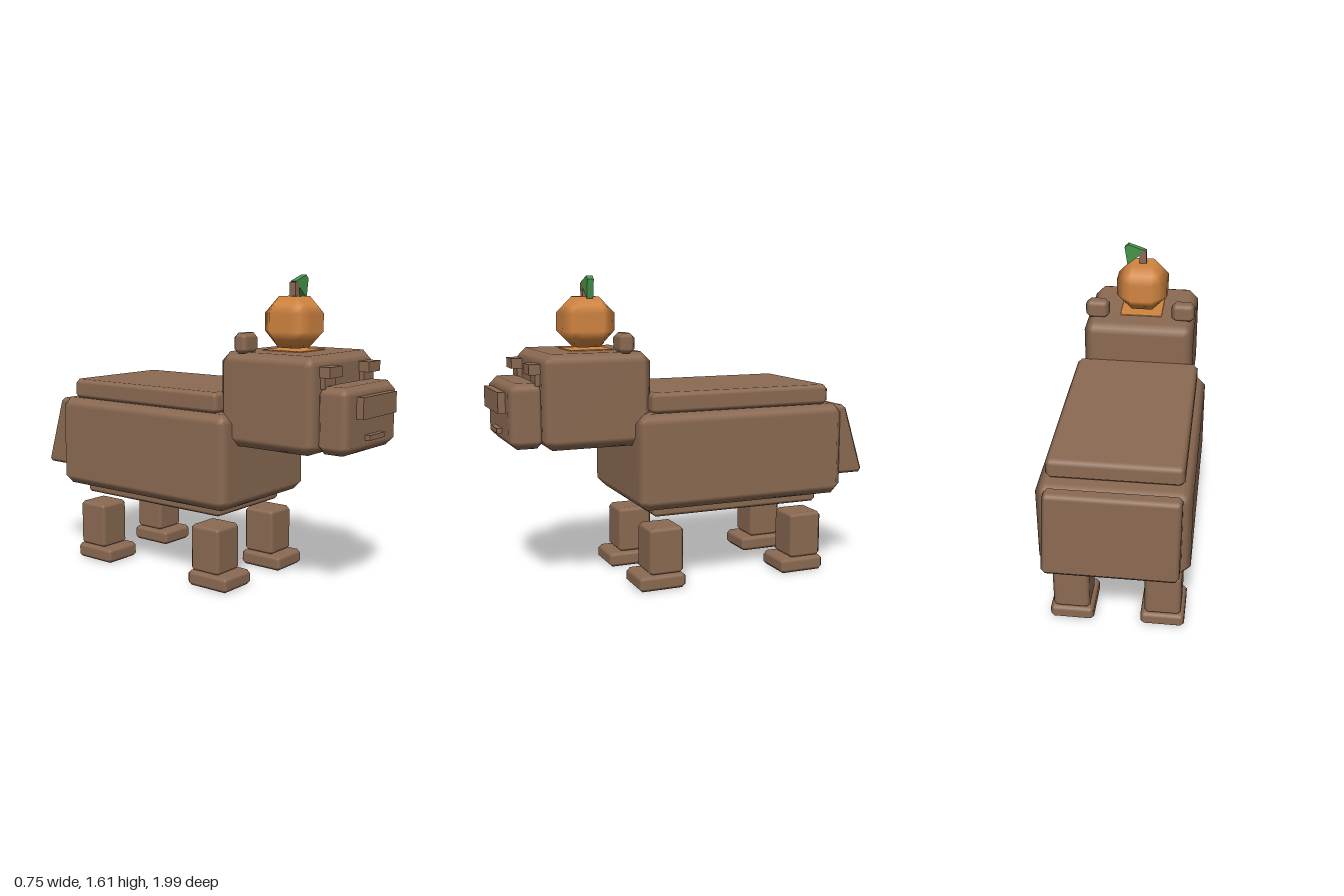
import * as THREE from 'three';

const material = (name, color) => {
  const m = new THREE.MeshStandardMaterial({ color });
  m.name = name;
  return m;
};

// Box given by its [min, max] on each axis, with a chamfer r and normals blended over the chamfers only.
function chamferBox([x0, x1], [y0, y1], [z0, z1], r) {
  const half = [(x1 - x0) / 2, (y1 - y0) / 2, (z1 - z0) / 2];
  const mid = [(x0 + x1) / 2, (y0 + y1) / 2, (z0 + z1) / 2];
  const geo = new THREE.BoxGeometry(1, 1, 1, 3, 3, 3);
  const pos = geo.attributes.position, nor = geo.attributes.normal;
  const n = new THREE.Vector3();
  for (let i = 0; i < pos.count; i++) {
    const p = [pos.getX(i), pos.getY(i), pos.getZ(i)];
    const outer = p.map((v) => Math.abs(v) > 0.4);
    const count = outer.filter(Boolean).length;
    const inset = (r * (count - 1)) / count;
    const q = p.map((v, a) => mid[a] + Math.sign(v) * (half[a] - (outer[a] ? inset : r)));
    pos.setXYZ(i, ...q);
    n.set(...p.map((v, a) => (outer[a] ? Math.sign(v) : 0))).normalize();
    nor.setXYZ(i, n.x, n.y, n.z);
  }
  return geo;
}

export function createModel() {
  const model = new THREE.Group();
  const fur = material('brown fur', 0x8b6a52);
  const peel = material('orange peel', 0xd08440);
  const green = material('leaf green', 0x45934a);

  const add = (name, geo, mat = fur) => {
    const mesh = new THREE.Mesh(geo, mat);
    mesh.name = name;
    model.add(mesh);
    return mesh;
  };
  const block = (name, x, y, z, r, mat) => add(name, chamferBox(x, y, z, r), mat);
  const plain = (name, [x0, x1], [y0, y1], [z0, z1]) =>
    add(name, new THREE.BoxGeometry(x1 - x0, y1 - y0, z1 - z0))
      .position.set((x0 + x1) / 2, (y0 + y1) / 2, (z0 + z1) / 2);

  // Trunk
  block('body', [-0.375, 0.375], [0.425, 0.92], [-0.845, 0.34], 0.05);
  block('back', [-0.333, 0.333], [0.915, 1.025], [-0.765, 0.26], 0.025);
  block('belly', [-0.27, 0.27], [0.37, 0.45], [-0.735, 0.23], 0.018);

  // Rump: its rear face slopes outward toward the bottom
  const rump = chamferBox([-0.33, 0.33], [0.525, 0.908], [-0.88, -0.8], 0.02);
  const p = rump.attributes.position;
  for (let i = 0; i < p.count; i++) {
    if (p.getZ(i) < -0.84) p.setZ(i, p.getZ(i) - 0.12 * (0.908 - p.getY(i)) / 0.383);
  }
  add('rump', rump);

  // Head and face
  block('head', [-0.3, 0.3], [0.755, 1.23], [0.24, 0.805], 0.05);
  block('muzzle', [-0.25, 0.25], [0.765, 1.09], [0.78, 0.963], 0.042);
  plain('nose', [-0.16, 0.16], [0.94, 1.045], [0.93, 1]);
  plain('mouth', [-0.077, 0.073], [0.83, 0.855], [0.93, 0.99]);

  for (const [side, s] of [['left', 1], ['right', -1]]) {
    const span = (a, b) => (s > 0 ? [a, b] : [-b, -a]);
    plain(side + 'Eye', span(0.125, 0.238), [1.13, 1.182], [0.79, 0.862]);
    plain(side + 'UnderEye', span(0.135, 0.228), [1.075, 1.13], [0.79, 0.83]);
    block(side + 'Ear', span(0.172, 0.3), [1.222, 1.325], [0.333, 0.417], 0.025);
    // Legs and feet
    for (const [end, z] of [['Front', 0.18], ['Rear', -0.64]]) {
      block(side + end + 'Leg', span(0.142, 0.332), [0.075, 0.325], [z - 0.095, z + 0.095], 0.02);
      block(side + end + 'Foot', span(0.122, 0.35), [0, 0.08], [z - 0.103, z + 0.158], 0.02);
    }
  }

  // Fruit on the head, on a thin pad
  block('fruitPad', [-0.115, 0.115], [1.227, 1.235], [0.385, 0.615], 0.003, peel);
  block('fruit', [-0.139, 0.139], [1.243, 1.5], [0.361, 0.639], 0.083, peel);
  plain('stem', [-0.02, 0.018], [1.49, 1.57], [0.482, 0.518]);

  const outline = [[-0.012, 1.574], [0.0, 1.56], [0.085, 1.49], [0.1, 1.588], [0.08, 1.605]];
  const leaf = new THREE.ExtrudeGeometry(
    new THREE.Shape(outline.map(([x, y]) => new THREE.Vector2(x, y))),
    { depth: 0.034, bevelEnabled: false });
  add('leaf', leaf, green).position.z = 0.483;

  return model;
}
